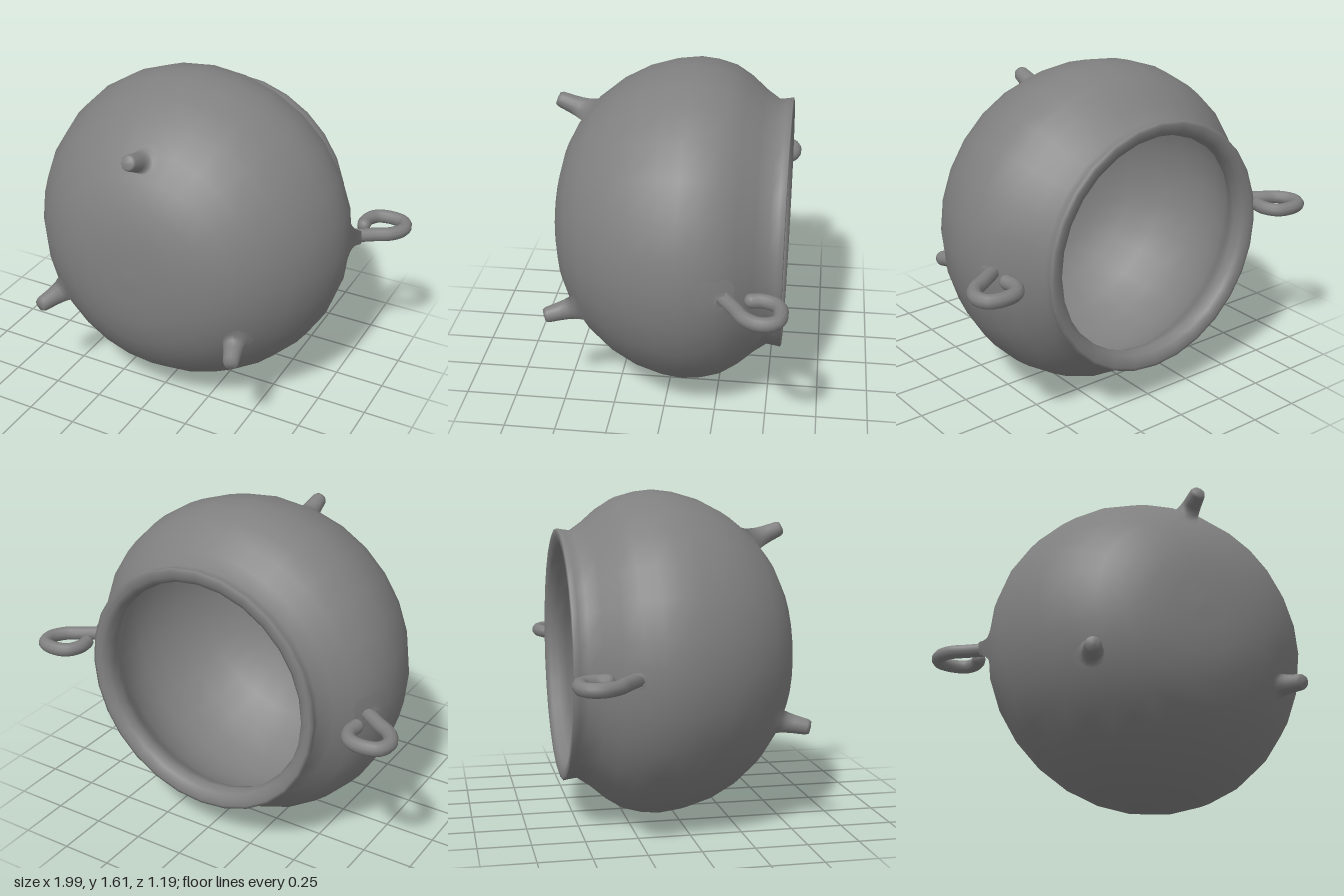
import * as THREE from 'three';

const AXIS_Y = 0.805; // height of the pot's horizontal axis
const material = new THREE.MeshStandardMaterial({ color: 0x808080 });

function lathe(profile, segments) {
  return new THREE.LatheGeometry(profile.map(([r, h]) => new THREE.Vector2(r, h)), segments);
}

function addMesh(parent, name, geometry) {
  const mesh = new THREE.Mesh(geometry, material);
  mesh.name = name;
  parent.add(mesh);
  return mesh;
}

// Near the body, turn normals towards those of an ellipsoid like it, so a flare melts into it
function blendNormals(geometry) {
  const { position, normal } = geometry.attributes;
  const p = new THREE.Vector3();
  const n = new THREE.Vector3();
  for (let i = 0; i < position.count; i++) {
    p.fromBufferAttribute(position, i);
    p.set(p.x / 0.8, p.y / 0.8, (p.z + 0.09) / 0.67);
    const weight = THREE.MathUtils.clamp(1 - (p.length() - 1.04) / 0.09, 0, 1);
    p.set(p.x / 0.8, p.y / 0.8, p.z / 0.67).normalize();
    n.fromBufferAttribute(normal, i).lerp(p, weight).normalize();
    normal.setXYZ(i, n.x, n.y, n.z);
  }
}

// Turned part whose profile runs from a start point on the body along a direction
function addTurned(parent, name, profile, start, direction) {
  const turn = new THREE.Quaternion().setFromUnitVectors(
    new THREE.Vector3(0, 1, 0), direction.clone().normalize());
  const geometry = lathe(profile, 16).applyQuaternion(turn).translate(start.x, start.y, start.z);
  blendNormals(geometry);
  addMesh(parent, name, geometry);
}

export function createModel() {
  const model = new THREE.Group();
  model.name = 'cauldron';
  const pot = new THREE.Group();
  pot.name = 'pot';
  pot.position.y = AXIS_Y;
  model.add(pot);

  // Hollow body lying on its side: outside, rounded rim, then inside; mouth faces -z
  const body = lathe([
    [0, -0.584], [0.13, -0.58], [0.25, -0.567], [0.37, -0.533], [0.48, -0.477], [0.59, -0.39],
    [0.69, -0.265], [0.755, -0.14], [0.793, -0.01], [0.805, 0.09], [0.795, 0.18], [0.77, 0.27],
    [0.72, 0.35], [0.655, 0.425], [0.61, 0.49], [0.615, 0.53], [0.62, 0.557],
    [0.605, 0.561], [0.575, 0.558], [0.55, 0.54], [0.537, 0.5], [0.555, 0.45],
    [0.63, 0.37], [0.69, 0.28], [0.725, 0.17], [0.73, 0.07], [0.71, -0.05], [0.65, -0.19],
    [0.55, -0.32], [0.42, -0.42], [0.24, -0.485], [0, -0.505],
  ], 28);
  body.rotateX(-Math.PI / 2);
  addMesh(pot, 'body', body);

  // Three tapered legs around the base, each flaring into the body
  const legProfile = [
    [0.13, -0.04], [0.095, 0], [0.07, 0.035], [0.056, 0.07], [0.049, 0.1], [0.044, 0.135],
    [0.038, 0.195], [0.03, 0.21], [0, 0.213],
  ];
  for (let i = 0; i < 3; i++) {
    const angle = Math.PI / 2 + (i * Math.PI * 2) / 3;
    const at = (r, z) => new THREE.Vector3(Math.cos(angle) * r, Math.sin(angle) * r, z);
    const start = at(0.53, 0.38);
    addTurned(pot, 'leg', legProfile, start, at(0.607, 0.57).sub(start));
  }

  // Curled handles, mirrored left and right
  const curl = [
    [0.71, -0.265], [0.77, -0.307], [0.85, -0.362], [0.925, -0.41], [0.964, -0.48],
    [0.945, -0.545], [0.875, -0.567], [0.8, -0.548], [0.767, -0.485], [0.772, -0.43],
  ];
  const footProfile = [
    [0.17, -0.03], [0.12, -0.006], [0.08, 0.009], [0.055, 0.022], [0.04, 0.04], [0.032, 0.065],
  ];
  for (const side of [1, -1]) {
    const handle = new THREE.Group();
    handle.name = side > 0 ? 'leftHandle' : 'rightHandle';
    pot.add(handle);
    const points = curl.map(([x, z]) => new THREE.Vector3(x * side, 0, z));
    const path = new THREE.CatmullRomCurve3(points);
    addMesh(handle, 'handleCurl', new THREE.TubeGeometry(path, 32, 0.034, 10));
    const tip = addMesh(handle, 'handleTip', new THREE.SphereGeometry(0.034, 10, 8));
    tip.position.copy(points[points.length - 1]);
    addTurned(handle, 'handleFoot', footProfile,
      new THREE.Vector3(0.747 * side, 0, -0.275), new THREE.Vector3(0.9 * side, 0, -0.45));
  }

  return model;
}
